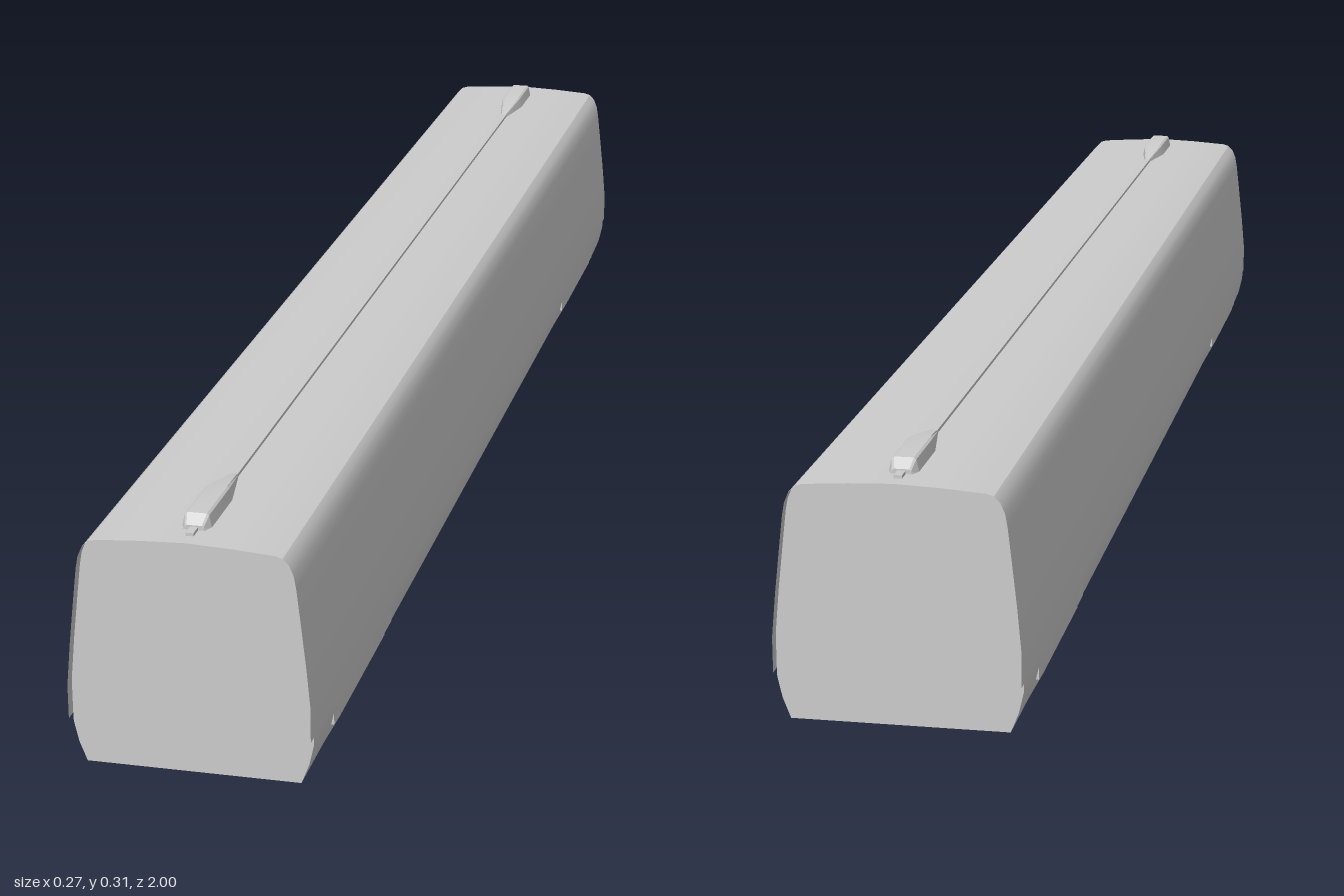
import * as THREE from 'three';
import { toCreasedNormals } from 'three/addons/utils/BufferGeometryUtils.js';

const material = new THREE.MeshStandardMaterial({ color: 0xcccccc, side: THREE.DoubleSide });

function add(parent, name, geometry, x = 0, y = 0, z = 0) {
  const mesh = new THREE.Mesh(geometry, material);
  mesh.name = name;
  mesh.position.set(x, y, z);
  parent.add(mesh);
  return mesh;
}

// Skin stretched over open sections; each is { z, points: [[x, y], ...] }
function loft(sections, crease = 0.4) {
  const n = sections[0].points.length, pos = [], index = [];
  for (const s of sections) for (const [x, y] of s.points) pos.push(x, y, s.z);
  for (let i = 0; i < sections.length - 1; i++) {
    for (let j = 0; j < n - 1; j++) {
      const a = i * n + j, b = a + n;
      index.push(a, b, a + 1, b, b + 1, a + 1);
    }
  }
  const g = new THREE.BufferGeometry();
  g.setAttribute('position', new THREE.Float32BufferAttribute(pos, 3));
  g.setIndex(index);
  return toCreasedNormals(g, crease);
}

const mirrored = half => [...half.map(([x, y]) => [-x, y]), ...half.filter(p => p[0] > 0).reverse()];
const lerp = THREE.MathUtils.lerp;
const FLOOR = 0.013, CEILING = 0.038, INNER = 0.1;

export function createModel() {
  const model = new THREE.Group();
  model.name = 'railCarriage';

  // Body shell: walls and roof, overhanging both end walls
  const upper = [[0.1368, 0.07], [0.137, 0.11], [0.1325, 0.16], [0.1265, 0.215], [0.1225, 0.25],
    [0.12, 0.264], [0.115, 0.276], [0.108, 0.283], [0.1, 0.2855], [0.05, 0.289], [0, 0.291]];
  const shell = mirrored(upper);
  add(model, 'bodyShell', loft([{ z: -1, points: shell }, { z: 1, points: shell }]));

  // Lower walls, raised in an arch over each bogie
  const plain = [[0.1368, 0.07], [0.1365, 0.06], [0.131, 0.036], [0.122, FLOOR]];
  const raised = [[0.1368, 0.07], [0.1365, 0.06], [0.136, 0.048], [0.135, 0.036]];
  const arch = [[0.6, 0], [0.64, 1], [0.86, 1], [0.888, 0], [0.985, 0]];
  const stations = [...arch.map(([z, t]) => [-z, t]).reverse(), ...arch];
  const skirt = stations.map(([z, t]) => ({
    z, points: plain.map((p, i) => [lerp(p[0], raised[i][0], t), lerp(p[1], raised[i][1], t)]),
  }));
  add(model, 'leftLowerWall', loft(skirt, 0.7));
  add(model, 'rightLowerWall', loft(skirt.map(s => ({
    z: s.z, points: s.points.map(([x, y]) => [-x, y]).reverse(),
  })), 0.7));

  // End walls, slightly recessed
  const outline = mirrored([[0.122, FLOOR], [0.131, 0.036], [0.1365, 0.06], ...upper]);
  const endShape = new THREE.Shape(outline.map(([x, y]) => new THREE.Vector2(x, y)));
  add(model, 'frontEndWall', new THREE.ShapeGeometry(endShape), 0, 0, 0.985);
  add(model, 'backEndWall', new THREE.ShapeGeometry(endShape), 0, 0, -0.985).rotation.y = Math.PI;

  // Underfloor between and beyond the bogies
  const floorBlock = (name, z0, z1) => add(model, name,
    new THREE.BoxGeometry(0.244, INNER - FLOOR, z1 - z0), 0, (INNER + FLOOR) / 2, (z0 + z1) / 2);
  floorBlock('middleUnderfloor', -0.6, 0.6);
  floorBlock('frontUnderfloor', 0.888, 0.985);
  floorBlock('backUnderfloor', -0.985, -0.888);

  // Bogie well: ceiling plate with two wheel slots
  const rect = (Type, x0, x1, z0, z1) => new Type([[x0, z0], [x1, z0], [x1, z1], [x0, z1]]
    .map(p => new THREE.Vector2(...p)));
  const plate = rect(THREE.Shape, -0.135, 0.135, -0.144, 0.144);
  for (const s of [-1, 1]) {
    plate.holes.push(rect(THREE.Path, s * 0.064 - 0.016, s * 0.064 + 0.016, -0.132, 0.132));
  }
  const plateGeometry = new THREE.ExtrudeGeometry(plate, { depth: INNER - CEILING, bevelEnabled: false });
  plateGeometry.rotateX(Math.PI / 2);
  const wheelGeometry = new THREE.CylinderGeometry(0.046, 0.046, 0.007, 32).rotateZ(Math.PI / 2);

  for (const end of [1, -1]) {
    const bogie = new THREE.Group();
    bogie.name = end > 0 ? 'frontBogie' : 'backBogie';
    bogie.position.z = end * 0.744;
    model.add(bogie);
    add(bogie, 'wellCeiling', plateGeometry, 0, INNER, 0);
    add(bogie, 'slotTop', new THREE.BoxGeometry(0.2, 0.004, 0.28), 0, INNER + 0.002, 0);
    const centre = end > 0 ? 0.013 : 0.003;
    for (const x of [-0.064, 0.064]) {
      for (const dz of [-0.099, 0.099]) add(bogie, 'wheel', wheelGeometry, x, 0.046, centre + dz);
    }
  }

  // Roof conduit and the tapered pods at its ends
  add(model, 'roofConduit', new THREE.BoxGeometry(0.009, 0.006, 1.96), 0, 0.2915, 0);
  const podStations = [[0.8, 0.005, 0.294], [0.87, 0.017, 0.306], [0.95, 0.017, 0.306], [0.962, 0.013, 0.296], [0.962, 0.013, 0.289]];
  const podGeometry = loft(podStations.map(([z, w, top]) => ({
    z, points: mirrored([[w, 0.288], [w * 0.8, top - 0.002], [w * 0.65, top]]),
  })), 0.2);
  add(model, 'frontRoofPod', podGeometry);
  add(model, 'backRoofPod', podGeometry).rotation.y = Math.PI;

  return model;
}
